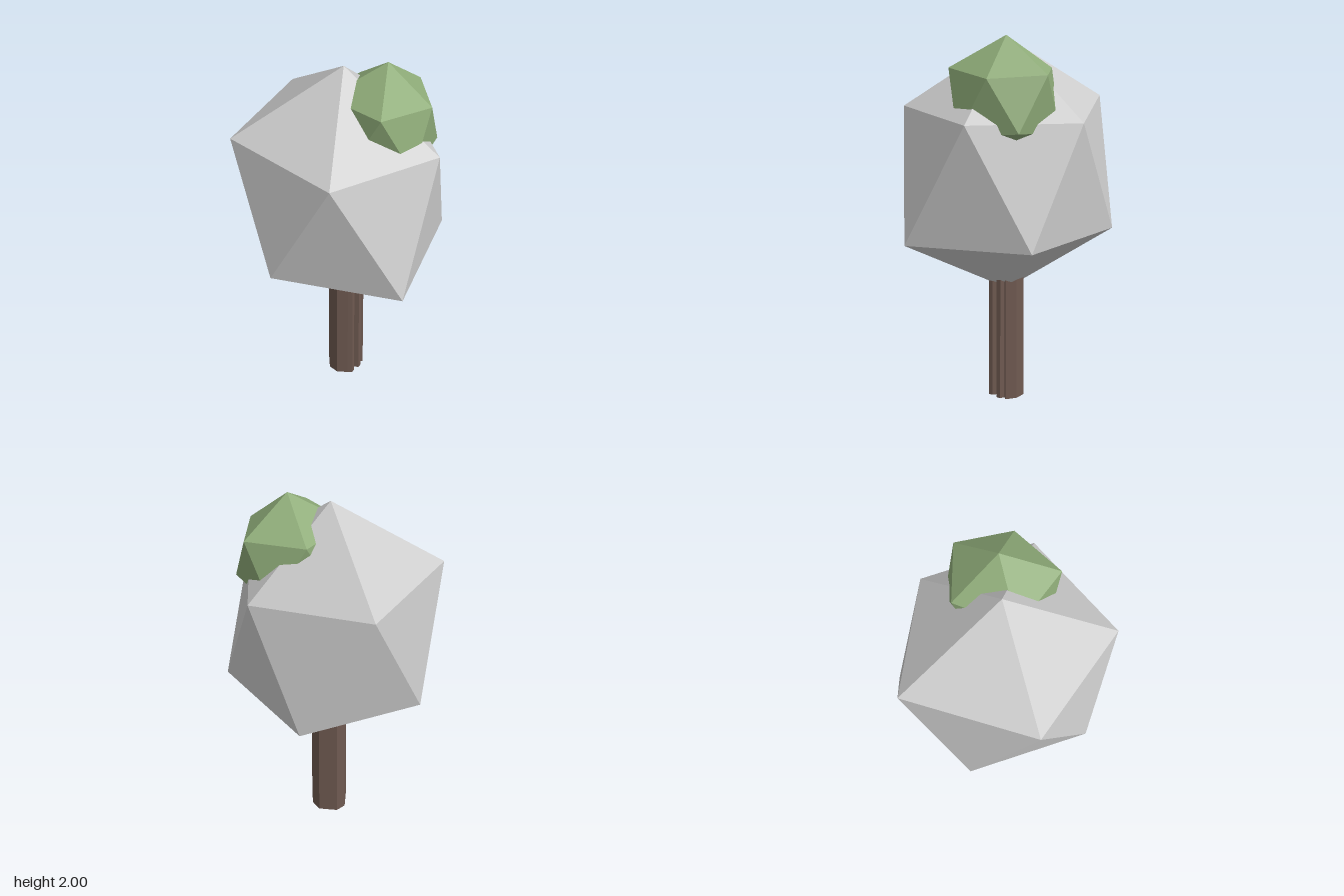
import * as THREE from 'three';

const flat = (name, color) => {
  const m = new THREE.MeshStandardMaterial({ color, flatShading: true });
  m.name = name;
  return m;
};

// Irregular twenty-sided crown: a top point, two staggered rings of five, a bottom point
function crownGeometry(top, upper, lower, bottom) {
  const pos = [];
  const face = (...corners) => corners.forEach((c) => pos.push(...c));
  for (let i = 0; i < 5; i++) {
    const j = (i + 1) % 5;
    face(top, upper[j], upper[i]);
    face(upper[i], upper[j], lower[i]);
    face(upper[j], lower[j], lower[i]);
    face(bottom, lower[i], lower[j]);
  }
  const g = new THREE.BufferGeometry();
  g.setAttribute('position', new THREE.Float32BufferAttribute(pos, 3));
  g.computeVertexNormals();
  return g;
}

// Trunk: grooved outline (x, z) extruded upwards with a slight taper
function trunkGeometry() {
  const outline = [
    [0.105, -0.03], [0.03, -0.105], [-0.03, -0.105], [-0.1, -0.03], [-0.1, 0.03],
    [-0.06, 0.08], [-0.04, 0.1], [-0.02, 0.095], [-0.005, 0.07], [0.015, 0.1],
    [0.04, 0.095], [0.05, 0.07], [0.07, 0.085], [0.105, 0.03],
  ];
  const shape = new THREE.Shape(outline.map(([x, z]) => new THREE.Vector2(x, -z)));
  const height = 0.73;
  const g = new THREE.ExtrudeGeometry(shape, { depth: height, bevelEnabled: false });
  g.rotateX(-Math.PI / 2);
  const p = g.attributes.position;
  for (let i = 0; i < p.count; i++) {
    const s = 1 - 0.05 * (p.getY(i) / height);
    p.setX(i, p.getX(i) * s);
    p.setZ(i, p.getZ(i) * s);
  }
  g.computeVertexNormals();
  return g;
}

export function createModel() {
  const tree = new THREE.Group();
  tree.name = 'tree';
  const add = (name, geometry, material) => {
    const mesh = new THREE.Mesh(geometry, material);
    mesh.name = name;
    tree.add(mesh);
    return mesh;
  };

  add('trunk', trunkGeometry(), flat('bark brown', 0x6f5a51)).position.x = 0.022;

  // Large pale crown
  add('mainCrown', crownGeometry(
    [0.02, 1.975, -0.01],
    [[-0.435, 1.64, -0.34], [0.205, 1.645, -0.565], [0.515, 1.59, -0.01], [0.18, 1.6, 0.472], [-0.42, 1.62, 0.315]],
    [[-0.15, 0.988, -0.53], [0.475, 0.985, -0.34], [0.47, 0.99, 0.315], [-0.165, 0.96, 0.565], [-0.52, 0.995, -0.01]],
    [0.02, 0.62, -0.01],
  ), flat('pale grey', 0xcccccc));

  // Small leafy clump sunk into the top of the crown
  add('leafClump', crownGeometry(
    [0.155, 2, 0.15],
    [[-0.08, 1.84, -0.03], [0.235, 1.83, -0.105], [0.415, 1.825, 0.147], [0.228, 1.812, 0.37], [-0.08, 1.84, 0.315]],
    [[0.07, 1.53, -0.1], [0.38, 1.53, 0], [0.375, 1.56, 0.307], [0.065, 1.53, 0.405], [-0.12, 1.53, 0.15]],
    [0.155, 1.36, 0.15],
  ), flat('leaf green', 0x8fac79));

  return tree;
}
